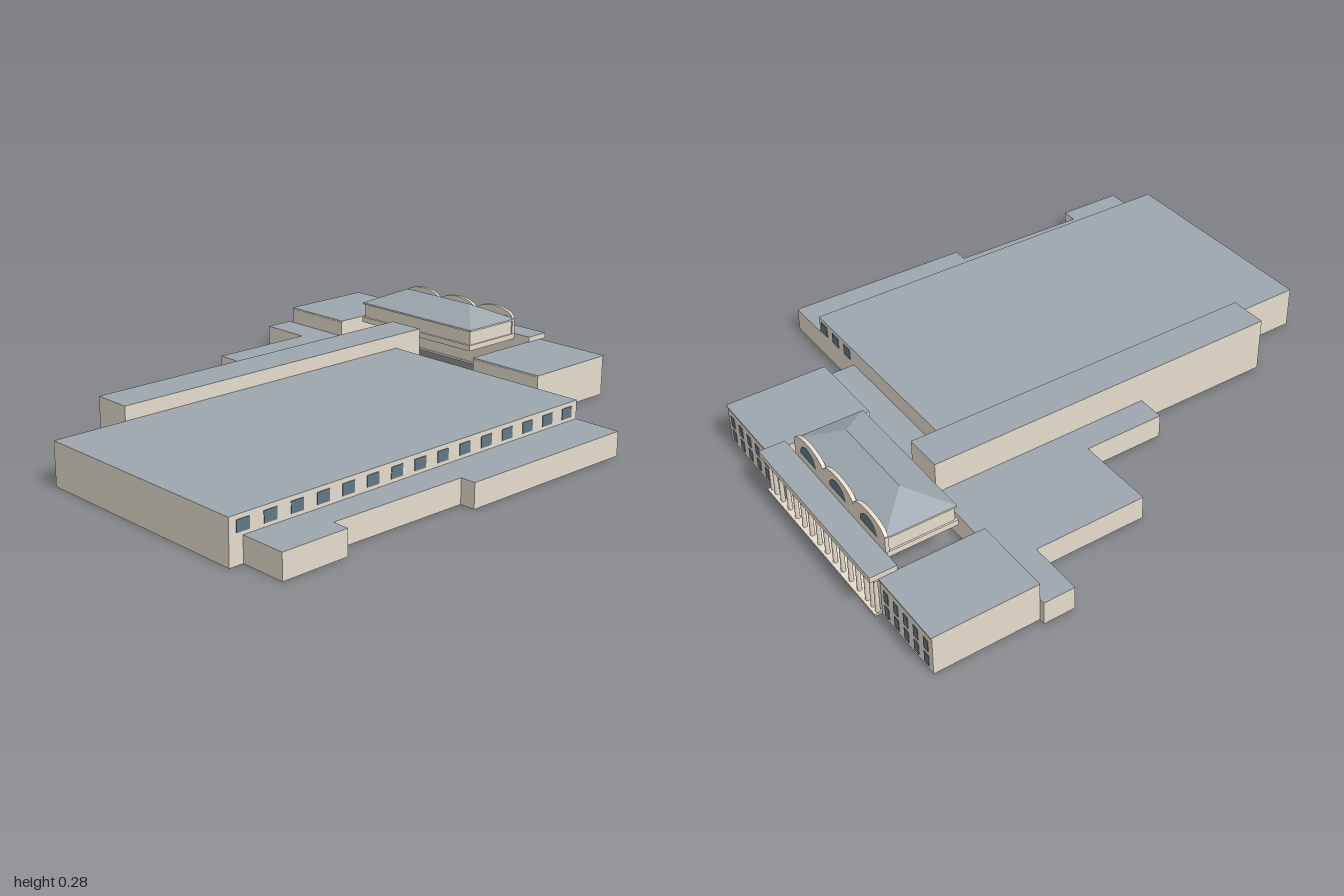
import * as THREE from 'three';

const mat = (name, color) => {
  const m = new THREE.MeshStandardMaterial({ color, side: THREE.DoubleSide });
  m.name = name;
  return m;
};

export function createModel() {
  const model = new THREE.Group();
  model.name = 'stationBuilding';
  const wall = mat('stone', 0xe5dccc);
  const roof = mat('slateRoof', 0x9ca6ad);
  const glass = mat('windowGlass', 0x617886);

  const add = (name, geometry, material, parent = model) => {
    const mesh = new THREE.Mesh(geometry, material);
    mesh.name = name;
    parent.add(mesh);
    return mesh;
  };
  // Box given by its limits on each axis
  const box = (name, [x0, x1], [y0, y1], [z0, z1], material, parent) => {
    const mesh = add(name, new THREE.BoxGeometry(x1 - x0, y1 - y0, z1 - z0), material, parent);
    mesh.position.set((x0 + x1) / 2, (y0 + y1) / 2, (z0 + z1) / 2);
    return mesh;
  };
  const flatRoofed = [wall, wall, roof, wall, wall, wall];

  // Open-bottomed block: walls around an x, z outline, with a flat roof sheet
  const shell = (name, outline, y0, y1, roofMaterial = roof, parent = model) => {
    const block = new THREE.Group();
    block.name = name;
    parent.add(block);
    const v = [];
    outline.forEach(([ax, az], i) => {
      const [bx, bz] = outline[(i + 1) % outline.length];
      v.push(ax, y0, az, bx, y0, bz, bx, y1, bz, ax, y0, az, bx, y1, bz, ax, y1, az);
    });
    const sides = new THREE.BufferGeometry();
    sides.setAttribute('position', new THREE.Float32BufferAttribute(v, 3));
    sides.computeVertexNormals();
    add(name + 'Walls', sides, wall, block);
    const shape = new THREE.Shape(outline.map(([x, z]) => new THREE.Vector2(x, -z)));
    const top = new THREE.ShapeGeometry(shape).rotateX(-Math.PI / 2).translate(0, y1, 0);
    add(name + 'Roof', top, roofMaterial, block);
  };
  const rect = (x0, x1, z0, z1) => [[x0, z1], [x1, z1], [x1, z0], [x0, z0]];

  // Low stepped ground floor
  const low = 0.085, east = 0.603, hallZ = 0.692;
  shell('groundFloor', [
    [-1, hallZ], [-0.95, hallZ], [-0.95, 0.852], [-0.71, 0.852], [-0.71, 0.794], [-0.2, 0.803],
    [-0.2, 0.857], [0.48, 0.864], [0.48, 0.452], [east, 0.452], [east, -0.864], [0.492, -0.864],
    [0.492, -0.668], [0.087, -0.668], [0.087, -0.38], [-0.21, -0.38], [-0.21, -0.28],
    [-0.733, -0.28], [-0.733, -0.183], [-0.797, -0.183], [-0.797, -0.14], [-1, -0.14],
  ], 0, low);

  // Main hall and the taller concourse behind it
  shell('mainHall', rect(-1, 0.48, -0.14, hallZ), low, 0.15);
  shell('concourse', rect(-0.733, east, -0.28, -0.14), low, 0.2);

  // Clerestory windows of the hall
  for (let i = 0; i < 15; i++) {
    const x = -0.95 + i * 0.0985;
    box('hallWindow', [x - 0.024, x + 0.024], [0.097, 0.135], [hallZ, hallZ + 0.002], glass);
  }
  for (const z of [0.657, 0.577, 0.496]) {
    box('hallEndWindow', [0.48, 0.482], [0.094, 0.135], [z - 0.021, z + 0.021], glass);
  }

  // Two wings with two rows of windows each
  for (const [z0, z1] of [[0.127, 0.425], [-0.843, -0.56]]) {
    const wing = new THREE.Group();
    wing.name = 'wing';
    model.add(wing);
    shell('wingBody', rect(east, 0.967, z0, z1), 0, 0.14, wall, wing);
    box('wingCornice', [east, 0.971], [0.1405, 0.146], [z0 - 0.002, z1 + 0.002], flatRoofed, wing);
    for (let i = 0; i < 5; i++) {
      const z = z0 + 0.034 + (i / 4) * (z1 - z0 - 0.066);
      for (const y of [0.034, 0.092]) {
        box('wingWindow', [0.967, 0.969], [y - 0.021, y + 0.021], [z - 0.012, z + 0.012], glass, wing);
      }
    }
  }

  // Raised pavilion behind the colonnade
  const pz0 = -0.493, pz1 = 0.052, mid = (pz0 + pz1) / 2;
  box('pavilionFloor', [0.658, 0.905], [0.145, 0.165], [pz0 - 0.006, pz1 + 0.006], wall);
  box('pavilionBody', [0.666, 0.902], [0.165, 0.218], [pz0, pz1], wall);
  box('pavilionEave', [0.66, 0.905], [0.216, 0.222], [pz0 - 0.006, pz1 + 0.006], wall);

  // Hipped roof: a box whose top is drawn in to a ridge
  const hip = new THREE.BoxGeometry(0.247, 0.056, 0.557).toNonIndexed();
  const p = hip.attributes.position;
  for (let i = 0; i < p.count; i++) {
    if (p.getY(i) > 0) {
      p.setX(i, 0);
      p.setZ(i, Math.sign(p.getZ(i)) * 0.16);
    }
  }
  hip.computeVertexNormals();
  add('hippedRoof', hip, roof).position.set(0.784, 0.25, mid);

  // Parapet with three arched gables over half-round windows
  const half = 0.0925;
  const gable = new THREE.Shape();
  gable.moveTo(-half, 0.165);
  gable.lineTo(half, 0.165);
  for (let i = 0; i <= 16; i++) {
    const a = (i / 16) * Math.PI;
    gable.lineTo(half * Math.cos(a), 0.22 + 0.039 * Math.sin(a));
  }
  gable.closePath();
  const gableGeo = new THREE.ExtrudeGeometry(gable, { depth: 0.013, bevelEnabled: false });
  const lunette = new THREE.Shape();
  lunette.absellipse(0, 0.195, 0.05, 0.046, 0, Math.PI, false);
  lunette.closePath();
  const lunetteGeo = new THREE.ShapeGeometry(lunette, 16);
  for (const z of [mid + 2 * half, mid, mid - 2 * half]) {
    const g = add('archedGable', gableGeo, wall);
    g.rotation.y = Math.PI / 2;
    g.position.set(0.895, 0, z);
    const l = add('halfRoundWindow', lunetteGeo, glass);
    l.rotation.y = Math.PI / 2;
    l.position.set(0.91, 0, z);
  }

  // Colonnade: floor, rear wall, end blocks, entablature
  box('colonnadeFloor', [0.905, 0.99], [0, 0.008], [-0.556, 0.125], wall);
  box('colonnadeRearWall', [0.908, 0.92], [0.008, 0.135], [-0.49, 0.047], wall);
  box('colonnadeArchitrave', [0.908, 0.985], [0.134, 0.145], [-0.556, 0.125], wall);
  box('colonnadeCornice', [0.907, 1], [0.145, 0.165], [-0.561, 0.13], flatRoofed);
  box('endBlock', [0.908, 0.962], [0.008, 0.135], [0.047, 0.125], wall);
  box('endBlock', [0.908, 0.962], [0.008, 0.135], [-0.556, -0.488], wall);

  // Columns with tall glazing between them
  const columnGeo = new THREE.CylinderGeometry(0.007, 0.008, 0.128, 12);
  const pitch = 0.0485, first = 0.046;
  const columnZ = [0.114, 0.087, -0.52, -0.546];
  for (let i = 0; i < 12; i++) columnZ.push(first - i * pitch);
  for (const z of columnZ) {
    add('column', columnGeo, wall).position.set(0.974, 0.071, z);
  }
  for (let i = 0; i < 11; i++) {
    const z = first - (i + 0.5) * pitch;
    box('tallWindow', [0.92, 0.923], [0.012, 0.132], [z - 0.018, z + 0.018], glass);
  }

  return model;
}
